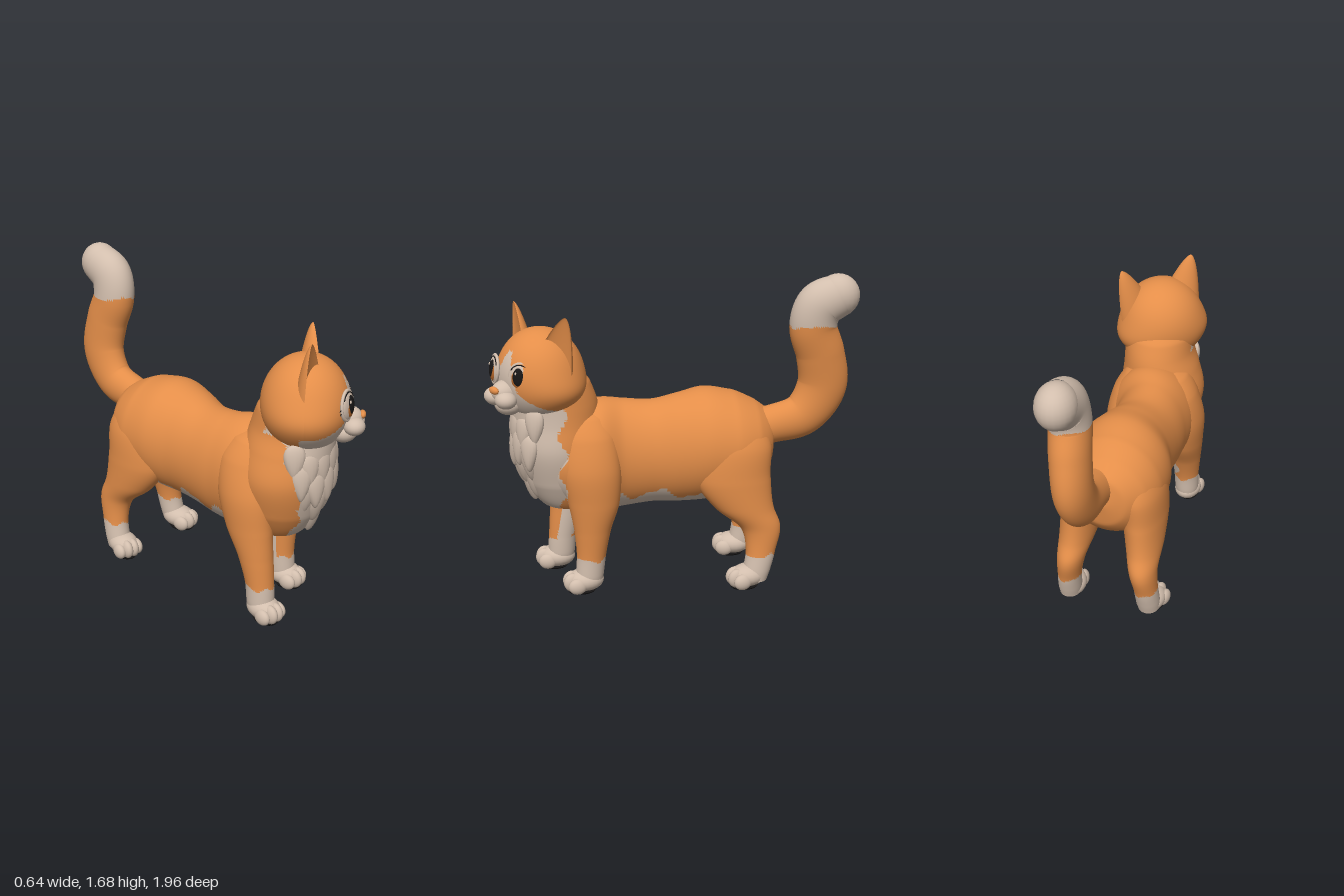
import * as THREE from 'three';

const mat = (name, color) => Object.assign(new THREE.MeshStandardMaterial({ color }), { name });
const ginger = mat('ginger fur', 0xe48e49);
const cream = mat('cream fur', 0xd2bead);
const black = mat('black', 0x181616);
const amber = mat('amber iris', 0xb8692c);

const UP = new THREE.Vector3(0, 1, 0);
const FORWARD = new THREE.Vector3(0, 0, 1);

function add(parent, name, geometry, material) {
  const m = new THREE.Mesh(geometry, material);
  m.name = name;
  parent.add(m);
  return m;
}

// Ellipsoid part
function ball(parent, name, material, pos, scale) {
  const m = add(parent, name, new THREE.SphereGeometry(1, 24, 14), material);
  m.position.set(...pos);
  m.scale.set(...scale);
  return m;
}

// Smooth loft through stations [x, y, z, radiusX, radiusOther]; without an axis the rings follow the path
function loft(stations, axis, rings = 70, sides = 64) {
  const path = new THREE.CatmullRomCurve3(stations.map((s) => new THREE.Vector3(s[0], s[1], s[2])));
  const size = new THREE.CatmullRomCurve3(stations.map((s) => new THREE.Vector3(s[3], s[4], 0)));
  const pos = [], index = [], N = new THREE.Vector3(1, 0, 0);
  for (let i = 0; i <= rings; i++) {
    const t = i / rings, c = path.getPoint(t), r = size.getPoint(t);
    const B = new THREE.Vector3().crossVectors(axis || path.getTangent(t), N).normalize();
    for (let j = 0; j < sides; j++) {
      const a = (j / sides) * Math.PI * 2;
      const p = c.clone().addScaledVector(N, Math.cos(a) * r.x).addScaledVector(B, Math.sin(a) * r.y);
      pos.push(p.x, p.y, p.z);
      if (i < rings) {
        const k = (j + 1) % sides, o = i * sides, q = o + sides;
        index.push(o + j, o + k, q + j, o + k, q + k, q + j);
      }
    }
  }
  const g = new THREE.BufferGeometry();
  g.setAttribute('position', new THREE.Float32BufferAttribute(pos, 3));
  g.setIndex(index);
  g.computeVertexNormals();
  return g;
}

// Splits the faces into ginger and cream groups by a rule on their centres
function markings(g, isCream) {
  const p = g.attributes.position, idx = g.index.array, sets = [[], []];
  for (let i = 0; i < idx.length; i += 3) {
    const t = [idx[i], idx[i + 1], idx[i + 2]];
    const mid = (f) => t.reduce((s, v) => s + p[f](v), 0) / 3;
    sets[isCream(mid('getX'), mid('getY'), mid('getZ')) ? 1 : 0].push(...t);
  }
  g.setIndex([...sets[0], ...sets[1]]);
  g.addGroup(0, sets[0].length, 0);
  g.addGroup(sets[0].length, sets[1].length, 1);
  return g;
}

// Moves every vertex by a rule
function reshape(g, rule) {
  const p = g.attributes.position, v = new THREE.Vector3();
  for (let i = 0; i < p.count; i++) {
    rule(v.fromBufferAttribute(p, i));
    p.setXYZ(i, v.x, v.y, v.z);
  }
  g.computeVertexNormals();
  return g;
}

const coat = [ginger, cream];

// Chest bib, set a little towards the left side
const bib = (x, y, z) => z > 0.575 + 0.025 * Math.sin(y * 30) && x < 0.25 &&
  x > -Math.min(0.165, 0.075 + Math.max(0, y - 0.55) * 0.27) + 0.01 * Math.sin(y * 45);

function buildTorso(cat) {
  const body = loft([
    [0, 0.78, -0.575, 0.01, 0.01], [0, 0.78, -0.55, 0.13, 0.14], [0, 0.765, -0.47, 0.22, 0.225],
    [0, 0.755, -0.35, 0.265, 0.29], [0, 0.76, -0.2, 0.268, 0.31], [0, 0.74, -0.05, 0.23, 0.3],
    [-0.02, 0.72, 0.1, 0.205, 0.285], [-0.025, 0.715, 0.25, 0.205, 0.3], [0, 0.72, 0.38, 0.24, 0.31],
    [0, 0.72, 0.55, 0.24, 0.27], [0, 0.74, 0.68, 0.19, 0.2], [0, 0.76, 0.78, 0.12, 0.12],
    [0, 0.77, 0.82, 0.01, 0.01],
  ], FORWARD, 100, 72);
  const belly = (x, y, z) => z > -0.28 && z < 0.5 && y < 0.525 + 0.03 * Math.sin(z * 24) + 0.012 * Math.sin(z * 51);
  add(cat, 'body', markings(body, (x, y, z) => belly(x, y, z) || bib(x, y, z)), coat);

  const neck = loft([
    [0, 0.42, 0.53, 0.02, 0.02], [0.005, 0.46, 0.56, 0.12, 0.12], [0, 0.6, 0.58, 0.2, 0.2],
    [0, 0.8, 0.6, 0.24, 0.235], [0.01, 0.94, 0.605, 0.215, 0.235], [0.025, 1.04, 0.615, 0.195, 0.23],
    [0.03, 1.14, 0.635, 0.19, 0.215], [0.03, 1.22, 0.65, 0.14, 0.16],
  ], UP, 80, 72);
  add(cat, 'neck', markings(neck, bib), coat);

  // Overlapping locks of chest fur
  const lock = reshape(new THREE.SphereGeometry(1, 16, 12), (v) => { v.x *= 0.3 + 0.35 * (v.y + 1); });
  const rows = [[0.88, 0.605, 0.215, 6, 0.9], [0.78, 0.6, 0.225, 5, 0.72], [0.68, 0.585, 0.21, 4, 0.55], [0.59, 0.57, 0.18, 3, 0.35]];
  for (const [y, z, r, count, spread] of rows) {
    for (let i = 0; i < count; i++) {
      const a = spread * ((2 * i) / (count - 1) - 1) + 0.13;
      const m = add(cat, 'chestLock', lock, cream);
      m.position.set(0.01 + r * Math.sin(a), y + 0.02 * Math.cos(i * 2.4) + 0.04 * Math.abs(a), z + r * Math.cos(a));
      m.rotation.set(y < 0.7 ? 0.28 : 0, a, 0, 'YXZ');
      m.scale.set(0.075, 0.1, 0.03);
    }
  }
}

function buildPaw(cat, name, x, z, turn) {
  const paw = new THREE.Group();
  paw.name = name;
  paw.position.set(x, 0, z);
  paw.rotation.y = turn;
  cat.add(paw);
  ball(paw, 'foot', cream, [0, 0.066, -0.01], [0.078, 0.062, 0.1]);
  for (let i = 0; i < 4; i++) {
    const s = i - 1.5, inner = Math.abs(s) < 1;
    ball(paw, 'toe', cream, [s * 0.037, inner ? 0.06 : 0.05, inner ? 0.06 : 0.04], [0.03, inner ? 0.053 : 0.045, 0.05]);
  }
  const pad = add(paw, 'pawPad', new THREE.CylinderGeometry(1, 0.9, 0.009, 32), black);
  pad.position.set(0, 0.0055, 0.01);
  pad.scale.set(0.062, 1, 0.08);
}

function buildLegs(cat) {
  const sock = (x, y, z) => y < 0.19 + 0.01 * Math.sin(x * 60 + z * 40);
  for (const s of [1, -1]) {
    // The right foreleg steps further forward
    const step = s < 0 ? 0.14 : 0;
    const fore = loft([
      [s * 0.17, 0.04, 0.455 + step, 0.062, 0.07], [s * 0.168, 0.1, 0.45 + step, 0.07, 0.075],
      [s * 0.166, 0.2, 0.44 + step, 0.073, 0.078], [s * 0.168, 0.35, 0.43 + step * 0.85, 0.085, 0.098],
      [s * 0.17, 0.5, 0.42 + step * 0.6, 0.1, 0.135], [s * 0.165, 0.7, 0.435 + step * 0.25, 0.112, 0.16],
      [s * 0.13, 0.86, 0.45, 0.108, 0.155], [s * 0.09, 0.96, 0.47, 0.085, 0.13], [s * 0.06, 1.01, 0.48, 0.02, 0.04],
    ], UP, 80);
    const foreMark = s > 0
      ? (x, y, z) => (y > 0.37 && y < 0.6 && z > 0.44 && x < 0.06 + (y - 0.3) * 0.55) || (y < 0.5 && x < 0.15 && z < 0.47)
      : (x, y, z) => x > -0.125 + 0.02 * Math.sin(y * 40) && y < 0.45 && z < 0.615 - Math.max(0, y - 0.2) * 0.2;
    add(cat, s > 0 ? 'leftForeleg' : 'rightForeleg', markings(fore, (x, y, z) => sock(x, y, z) || foreMark(x, y, z)), coat);
    buildPaw(cat, s > 0 ? 'leftForepaw' : 'rightForepaw', s * 0.172, 0.485 + step, s * 0.1);

    const hind = loft([
      [s * 0.225, 0.04, -0.44, 0.06, 0.07], [s * 0.222, 0.1, -0.455, 0.064, 0.075],
      [s * 0.215, 0.2, -0.475, 0.064, 0.08], [s * 0.2, 0.33, -0.475, 0.075, 0.108],
      [s * 0.185, 0.45, -0.385, 0.098, 0.16], [s * 0.17, 0.6, -0.325, 0.115, 0.205],
      [s * 0.15, 0.76, -0.325, 0.122, 0.21], [s * 0.11, 0.9, -0.33, 0.1, 0.16], [s * 0.07, 0.98, -0.33, 0.02, 0.04],
    ], UP);
    const innerThigh = (x, y, z) => s * x < 0.13 && y < 0.55 && z > -0.36;
    add(cat, s > 0 ? 'leftHindLeg' : 'rightHindLeg', markings(hind, (x, y, z) => sock(x, y, z) || innerThigh(x, y, z)), coat);
    buildPaw(cat, s > 0 ? 'leftHindPaw' : 'rightHindPaw', s * 0.228, -0.395, s * 0.2);
  }
}

function buildTail(cat) {
  const tail = loft([
    [0.03, 0.84, -0.4, 0.1, 0.1], [0.04, 0.865, -0.57, 0.09, 0.105], [0.04, 0.915, -0.73, 0.09, 0.12],
    [0.045, 1.07, -0.825, 0.095, 0.135], [0.06, 1.25, -0.805, 0.1, 0.13], [0.075, 1.4, -0.758, 0.103, 0.127],
    [0.085, 1.51, -0.785, 0.105, 0.127], [0.09, 1.565, -0.878, 0.1, 0.115],
  ], null);
  add(cat, 'tail', markings(tail, (x, y, z) => y > 1.41 + 0.01 * Math.sin(x * 40)), coat);
  ball(cat, 'tailTip', cream, [0.09, 1.565, -0.88], [0.1, 0.115, 0.115]);
}

function buildHead(cat) {
  const head = new THREE.Group();
  head.name = 'head';
  head.position.set(0.033, 1.18, 0.675);
  head.rotation.set(0, 0.66, -0.07, 'YXZ');
  cat.add(head);

  // Skull with full cheeks and a cream blaze running down to the chin
  const skull = reshape(new THREE.SphereGeometry(1, 100, 76), (v) => {
    const cheek = 1 + 0.13 * Math.exp(-(((v.y + 0.25) / 0.4) ** 2));
    v.set(v.x * 0.237 * cheek, v.y * 0.25, v.z * 0.222);
  });
  add(head, 'skull', markings(skull, (x, y, z) => {
    const w = y > -0.05 ? 0.014 + 0.42 * (0.15 - y) : 0.098 + 1.5 * (-0.05 - y);
    return y < 0.15 && z > -0.02 && Math.abs(x + 0.02) < w;
  }), coat);

  // Ears: rounded points folded to a hollow crescent
  const profile = [];
  for (let i = 0; i <= 16; i++) {
    const t = 1 - (1 - i / 16) ** 1.6;
    profile.push(new THREE.Vector2(0.115 * (1 - t) ** 0.62, 0.3 * (t - 0.5)));
  }
  for (const s of [1, -1]) {
    const ear = reshape(new THREE.LatheGeometry(profile, 48), (v) => {
      v.z = (v.z > 0 ? -0.25 : 0.75) * v.z + 0.03;
    });
    const m = add(head, s > 0 ? 'leftEar' : 'rightEar', ear, ginger);
    m.position.set(s * 0.16 + 0.005, 0.205, 0.0);
    m.rotation.set(-0.05, s * 0.35, -s * 0.26, 'ZXY');
  }

  const face = new THREE.Group();
  face.name = 'face';
  face.position.x = -0.025;
  head.add(face);
  ball(face, 'muzzleBridge', cream, [0, -0.062, 0.205], [0.07, 0.062, 0.08]);
  ball(face, 'chin', cream, [0, -0.13, 0.19], [0.075, 0.058, 0.07]);
  ball(face, 'nose', ginger, [0, -0.042, 0.28], [0.034, 0.02, 0.017]);
  for (const s of [1, -1]) {
    ball(face, 'muzzle', cream, [s * 0.045, -0.09, 0.24], [0.06, 0.046, 0.055]);
    const eye = new THREE.Group();
    eye.name = s > 0 ? 'leftEye' : 'rightEye';
    eye.position.set(s * 0.1, 0.033, 0.193 + s * -0.006);
    eye.rotation.set(-0.08, s * 0.4, 0, 'YXZ');
    face.add(eye);
    ball(eye, 'eyeWhite', cream, [0, 0, 0], [0.064, 0.073, 0.022]);
    ball(eye, 'iris', amber, [-s * 0.006, -0.006, 0.006], [0.045, 0.056, 0.021]);
    ball(eye, 'pupil', black, [-s * 0.006, 0.002, 0.012], [0.034, 0.05, 0.0195]);
    ball(eye, 'glint', cream, [-0.016, 0.022, 0.026], [0.007, 0.009, 0.004]);
    const rim = add(eye, 'eyeRim', new THREE.TorusGeometry(0.065, 0.008, 10, 40), cream);
    rim.scale.y = 1.12;
    const lid = add(eye, 'upperLashLine', new THREE.TorusGeometry(0.06, 0.003, 8, 24, 2.2), black);
    lid.rotation.z = 0.47;
    lid.position.set(0, 0.006, 0.009);
    for (const a of [-0.35, -0.1]) {
      const lash = add(eye, 'lash', new THREE.ConeGeometry(0.005, 0.03, 8), black);
      lash.position.set(s * 0.078 * Math.cos(a), 0.078 * Math.sin(a), -0.002);
      lash.rotation.z = -s * (Math.PI / 2 - a);
    }
  }
}

export function createModel() {
  const cat = new THREE.Group();
  cat.name = 'cat';
  buildTorso(cat);
  buildLegs(cat);
  buildTail(cat);
  buildHead(cat);
  return cat;
}
